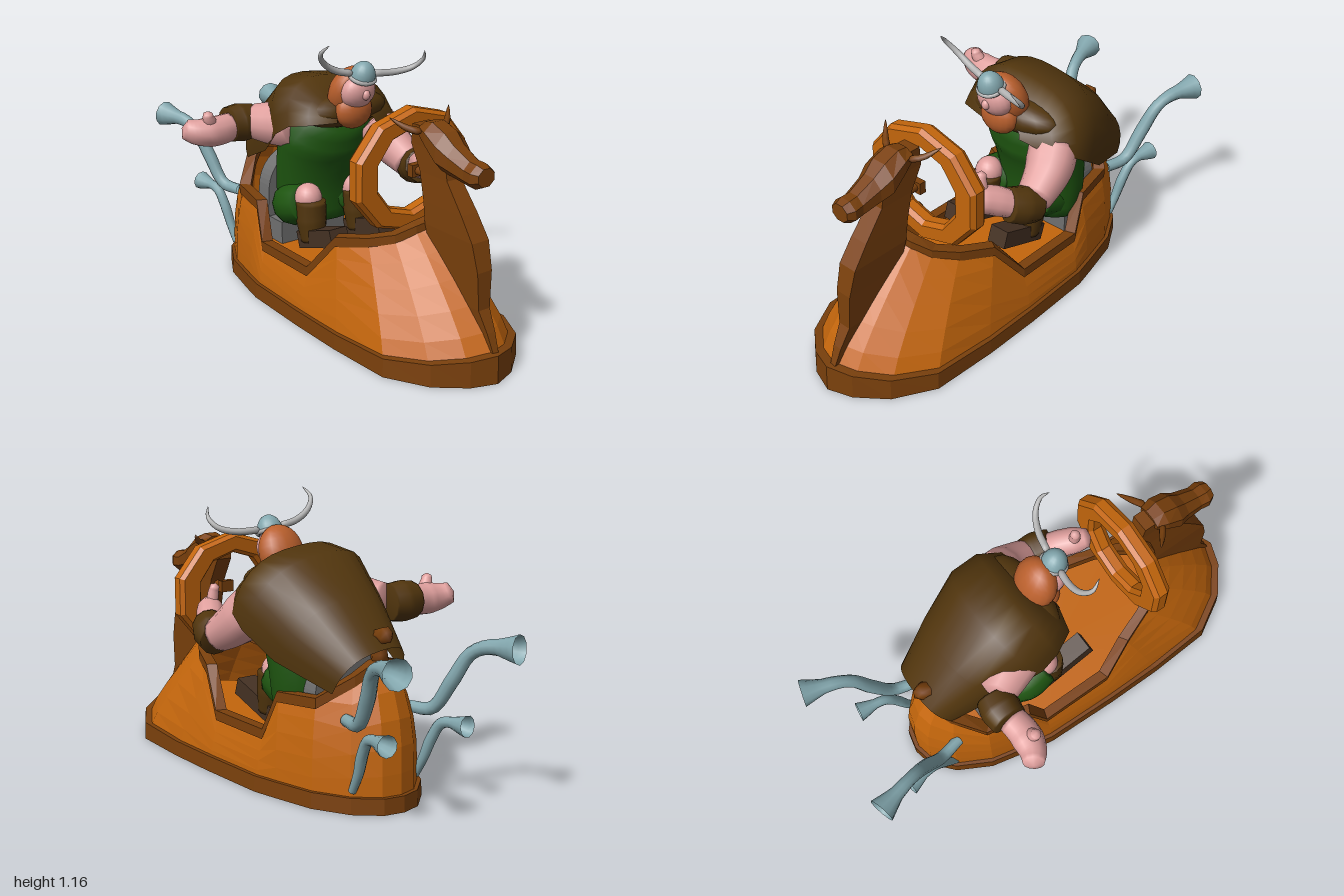
import * as THREE from 'three';
import { mergeVertices } from 'three/addons/utils/BufferGeometryUtils.js';

const mat = (name, color, side = THREE.FrontSide) => {
  const m = new THREE.MeshStandardMaterial({ color, side });
  m.name = name;
  return m;
};
const CX = 0.08; // centre line of the boat
const BX = 0.13; // centre line of the rider

// Stacks rings of [x, y, z] points into a faceted or smooth skin
function loft(rings, { closed = true, caps = false, flat = true } = {}) {
  const n = rings[0].length, pos = rings.flat(2), idx = [];
  for (let r = 0; r < rings.length - 1; r++) {
    for (let i = 0; i < (closed ? n : n - 1); i++) {
      const a = r * n + i, b = r * n + (i + 1) % n;
      idx.push(a, b, a + n, b, b + n, a + n);
    }
  }
  if (caps) {
    [rings[0], rings[rings.length - 1]].forEach((ring, end) => {
      const c = pos.length / 3, base = end ? (rings.length - 1) * n : 0;
      for (let k = 0; k < 3; k++) pos.push(ring.reduce((s, p) => s + p[k], 0) / n);
      for (let i = 0; i < n; i++) {
        const a = base + i, b = base + (i + 1) % n;
        end ? idx.push(c, a, b) : idx.push(c, b, a);
      }
    });
  }
  let g = new THREE.BufferGeometry();
  g.setAttribute('position', new THREE.Float32BufferAttribute(pos, 3));
  g.setIndex(idx);
  if (flat) g = g.toNonIndexed();
  g.computeVertexNormals();
  return g;
}

// Tube with a changing radius, optionally closed at both ends
function sweep(points, radii, { seg = 16, sides = 12, cap = true, stretch = [1, 1, 1] } = {}) {
  const curve = new THREE.CatmullRomCurve3(points.map(p => new THREE.Vector3(...p)));
  const g = new THREE.TubeGeometry(curve, seg, 1, sides);
  const p = g.attributes.position, v = new THREE.Vector3(), s = new THREE.Vector3(...stretch);
  for (let i = 0; i <= seg; i++) {
    const c = curve.getPointAt(i / seg), t = i / seg * (radii.length - 1);
    const k = Math.min(Math.floor(t), radii.length - 2);
    let r = THREE.MathUtils.lerp(radii[k], radii[k + 1], t - k);
    if (cap && (i === 0 || i === seg)) r = 0;
    for (let j = 0; j <= sides; j++) {
      const q = i * (sides + 1) + j;
      v.fromBufferAttribute(p, q).sub(c).multiply(s).multiplyScalar(r).add(c);
      p.setXYZ(q, v.x, v.y, v.z);
    }
  }
  g.deleteAttribute('uv');
  g.deleteAttribute('normal');
  const m = mergeVertices(g, 1e-5);
  m.computeVertexNormals();
  return m;
}

export function createModel() {
  const D = THREE.DoubleSide;
  const wood = mat('orange wood', 0xc4660c, D), dark = mat('dark wood', 0x7a400c, D);
  const cloth = mat('brown cloth', 0x51350d, D), green = mat('green tunic', 0x1e5510);
  const skin = mat('skin', 0xe0a09e), hair = mat('red hair', 0xb95f2c);
  const steel = mat('blue steel', 0x82a6ad, D), horn = mat('horn', 0xb0b0b0);
  const grey = mat('seat grey', 0x707070), leather = mat('dark leather', 0x453123);
  const root = new THREE.Group();
  const add = (name, geo, m, pos = [0, 0, 0], parent = root) => {
    const o = new THREE.Mesh(geo, m);
    o.name = name;
    o.position.set(...pos);
    parent.add(o);
    return o;
  };
  const ball = (name, m, pos, scale, tilt = 0) => {
    const o = add(name, new THREE.SphereGeometry(1, 18, 14), m, pos);
    o.scale.set(...scale);
    o.rotation.x = tilt;
  };

  // Half outlines of the boat from bow to stern: [half width, y, z]
  const low = [[0, .1, .965], [.1, .09, .93], [.21, .075, .84], [.3, .06, .68], [.315, .05, .4], [.315, .05, .15],
    [.305, .05, -.17], [.285, .05, -.27], [.245, .05, -.45], [.17, .05, -.59], [.08, .05, -.67], [0, .05, -.688]];
  const top = [[0, .53, .58], [.06, .51, .56], [.12, .47, .51], [.175, .44, .42], [.225, .41, .28], [.265, .245, .15],
    [.265, .245, -.17], [.245, .41, -.24], [.21, .42, -.43], [.11, .51, -.53], [.05, .56, -.565], [0, .57, -.57]];
  const ring = half => [...half.map(([x, y, z]) => [CX + x, y, z]),
    ...half.slice(1, -1).reverse().map(([x, y, z]) => [CX - x, y, z])];
  const grown = (half, s, dy) => half.map(([x, y, z]) => [x * s, y + dy, z * (1 + (s - 1) * .5)]);

  // Hull, straight at the bow and bulging more towards the stern
  const hullRings = [0, .2, .4, .6, .8, 1].map(f => ring(low.map((p, i) =>
    [0, 1, 2].map(k => p[k] + (top[i][k] - p[k]) * (k === 1 ? f : f ** (1.25 + Math.max(0, i - 4) * .35))))));
  add('hull', loft(hullRings), wood);
  add('gunwale', loft([[1.07, -.03], [1.07, .012], [.9, .012], [.9, -.03]].map(([s, d]) => ring(grown(top, s, d)))), dark);
  add('baseRim', loft([ring(low.map(([x, , z]) => [x * 1.06, .005, z * 1.03])),
    ring(grown(low, 1.05, .02)), ring(grown(low, .97, .02))], { caps: true }), dark);
  add('floor', loft([ring(low.map(([x, , z]) => [x * .84, .17, z * .85])),
    ring(low.map(([x, , z]) => [x * .82, .2, z * .84]))], { caps: true }), wood);

  // Carved neck and keel: [y, front z, back z, half width]
  const neck = [[.1, .972, .85, .012], [.19, .935, .8, .02], [.27, .892, .72, .028], [.42, .885, .62, .036],
    [.53, .855, .59, .042], [.62, .79, .575, .04], [.73, .7, .545, .036], [.83, .68, .49, .036], [.91, .58, .5, .04]];
  add('figureheadNeck', loft(neck.map(([y, f, b, w]) => [[-w, f], [w, f], [w, b], [-w, b]].map(([x, z]) =>
    [CX + .01 + x, y, z])), { caps: true }), dark);

  // Carved head from eight-sided sections: [z, y, half width, half height]
  const headRings = [[.55, .895, .055, .03], [.6, .88, .07, .055], [.67, .835, .075, .075], [.72, .81, .06, .06],
    [.8, .785, .05, .047], [.84, .783, .055, .047], [.87, .785, .04, .035]].map(([z, y, w, h]) =>
    Array.from({ length: 8 }, (_, i) => {
      const a = (i + .5) * Math.PI / 4;
      return [CX + .01 + w * 1.08 * Math.cos(a), y + h * 1.08 * Math.sin(a), z];
    }));
  add('figureheadHead', loft(headRings, { caps: true }), dark);
  for (const s of [-1, 1]) {
    add('figureheadHorn', sweep([[CX + .01 + s * .05, .895, .58], [CX + .01 + s * .1, .91, .54],
      [CX + .01 + s * .15, .95, .49]], [.017, .013, .003], { sides: 6, seg: 6 }), dark);
  }

  // Ten-sided steering wheel
  const loop = (rx, ry) => Array.from({ length: 10 }, (_, i) => {
    const a = Math.PI / 2 + i * Math.PI / 5;
    return new THREE.Vector2(rx * Math.cos(a), ry * Math.sin(a));
  });
  const wheel = new THREE.Shape(loop(.275, .24));
  wheel.holes.push(new THREE.Path(loop(.195, .185)));
  add('steeringWheel', new THREE.ExtrudeGeometry(wheel,
    { depth: .04, bevelThickness: .02, bevelSize: .014, bevelSegments: 1 }), wood, [CX + .015, .7, .41]);
  add('steeringColumn', new THREE.CylinderGeometry(.018, .018, .12, 8).rotateX(Math.PI / 2), dark, [CX + .01, .71, .54]);
  add('wheelHub', new THREE.BoxGeometry(.06, .05, .03), dark, [CX + .01, .71, .48]);

  // Flared exhaust pipes and the stern curl
  for (const s of [-1, 1]) {
    const at = pts => pts.map(([x, y, z]) => [CX + s * x, y, z]);
    const open = { cap: false, seg: 20, sides: 10 };
    add('upperExhaust', sweep(at([[.16, .36, -.55], [.185, .37, -.65], [.21, .49, -.73], [.24, .6, -.79],
      [.26, .635, -.85], [.298, .645, -.985]]), [.024, .026, .028, .03, .028, .026, .032, .058], open), steel);
    add('lowerExhaust', sweep(at([[.16, .09, -.59], [.165, .17, -.63], [.175, .26, -.665], [.185, .325, -.71],
      [.2, .335, -.83]]), [.016, .02, .023, .022, .022, .043], open), steel);
  }
  add('sternCurl', sweep([[CX + .01, .54, -.57], [CX + .01, .64, -.555], [CX + .01, .68, -.565], [CX + .01, .65, -.625]],
    [.035, .035, .035, .03], { sides: 6, seg: 8 }), dark);

  // Seat with a rounded back
  const back = new THREE.Shape();
  back.moveTo(-.18, 0).lineTo(.18, 0).lineTo(.17, .22).absarc(0, .22, .17, 0, Math.PI, false);
  add('seatBack', new THREE.ExtrudeGeometry(back, { depth: .08, bevelEnabled: false }), grey, [BX - .03, .2, -.4]);
  add('seatBase', new THREE.BoxGeometry(.34, .1, .16), grey, [BX - .03, .25, -.3]);

  // Rider's body and legs
  add('tunic', sweep([[BX, .27, -.22], [BX, .5, -.22], [BX, .7, -.17], [BX, .85, -.08]],
    [.16, .18, .19, .2, .12], { seg: 14, sides: 20, stretch: [1.12, 1, .8] }), green);
  for (const s of [-1, 1]) {
    const x = BX - .04 + s * .125;
    add('thigh', sweep([[BX - .02 + s * .08, .36, -.26], [x, .4, -.17], [x, .43, -.07]], [.1, .095, .08]), green);
    ball('knee', skin, [x, .455, -.07], [.06, .065, .06]);
    add('bootLeg', sweep([[x, .46, -.05], [x, .36, -.045], [x, .26, -.03]], [.065, .065, .05]), cloth);
    add('shoe', new THREE.BoxGeometry(.09, .075, .25), leather, [x, .308, .035]).rotation.x = -.32;
  }

  // Cape, higher over the raised arm: spine [z, y] down to the edges [z, y], half width, centre x
  const capeRings = [[.03, .825, .05, .79, .1, .13], [-.04, .9, .02, .775, .23, .14], [-.12, .962, -.07, .75, .28, .145],
    [-.27, .945, -.15, .7, .29, .145], [-.45, .8, -.29, .59, .245, .14], [-.61, .62, -.54, .49, .17, .13]]
    .map(([z, y, ez, ey, w, cx]) => Array.from({ length: 15 }, (_, i) => {
      const a = (i / 7 - 1) * Math.PI / 2, f = (1 - Math.cos(a)) ** 1.35;
      return [cx + w * Math.sin(a), y + (ey - y) * f - w * .13 * Math.sin(a), z + (ez - z) * f];
    }));
  add('cape', loft(capeRings, { closed: false, flat: false }), cloth);
  ball('capeCollar', cloth, [BX, .83, -.045], [.215, .075, .095]);

  // Left arm reaches for the wheel
  add('leftUpperArm', sweep([[.31, .74, -.08], [.345, .66, 0], [.37, .58, .13]], [.1, .1, .085, .07]), skin);
  add('leftCuff', sweep([[.378, .565, .11], [.362, .59, .18], [.335, .61, .24]], [.07, .078, .07]), cloth);
  add('leftForearm', sweep([[.345, .6, .21], [.295, .64, .29], [.245, .665, .38]], [.055, .06, .058, .035]), skin);
  add('leftThumb', sweep([[.275, .67, .31], [.265, .73, .31], [.26, .765, .3]], [.026, .024, .018], { seg: 8 }), skin);

  // Right arm stretches out sideways
  add('rightUpperArm', sweep([[-.02, .76, -.16], [-.07, .745, -.27], [-.12, .74, -.37]], [.1, .1, .09, .075]), skin);
  add('rightCuff', sweep([[-.11, .74, -.37], [-.18, .74, -.38], [-.245, .74, -.38]], [.075, .085, .075]), cloth);
  add('rightForearm', sweep([[-.22, .735, -.37], [-.31, .73, -.36], [-.39, .735, -.375], [-.445, .755, -.41]],
    [.06, .064, .066, .055, .04]), skin);
  add('rightThumb', sweep([[-.33, .76, -.35], [-.355, .8, -.34], [-.36, .83, -.335]], [.028, .026, .018], { seg: 8 }), skin);

  // Head, beard and horned helmet
  ball('hair', hair, [.125, .915, .01], [.102, .12, .075], .38);
  ball('face', skin, [.12, .93, .068], [.08, .075, .058], .3);
  ball('nose', skin, [.12, .925, .122], [.018, .022, .018]);
  ball('beard', hair, [.12, .845, .04], [.088, .08, .058]);
  const helmet = new THREE.Group();
  helmet.name = 'helmet';
  helmet.position.set(.122, .995, .095);
  helmet.rotation.x = .35;
  root.add(helmet);
  add('helmetDome', new THREE.SphereGeometry(.054, 18, 8, 0, Math.PI * 2, 0, Math.PI / 2).scale(1, 1.3, 1), steel, [0, 0, 0], helmet);
  add('helmetBand', new THREE.TorusGeometry(.052, .01, 6, 20).rotateX(Math.PI / 2), horn, [0, 0, 0], helmet);
  const taper = [.015, .015, .014, .012, .009, .002];
  add('rightHelmetHorn', sweep([[.08, 1.015, .09], [0, 1.035, .08], [-.065, 1.075, .085], [-.103, 1.125, .115], [-.088, 1.165, .155]], taper), horn);
  add('leftHelmetHorn', sweep([[.165, 1.005, .1], [.27, 1.002, .125], [.335, 1.02, .16], [.357, 1.06, .2], [.336, 1.103, .23]], taper), horn);

  return root;
}
